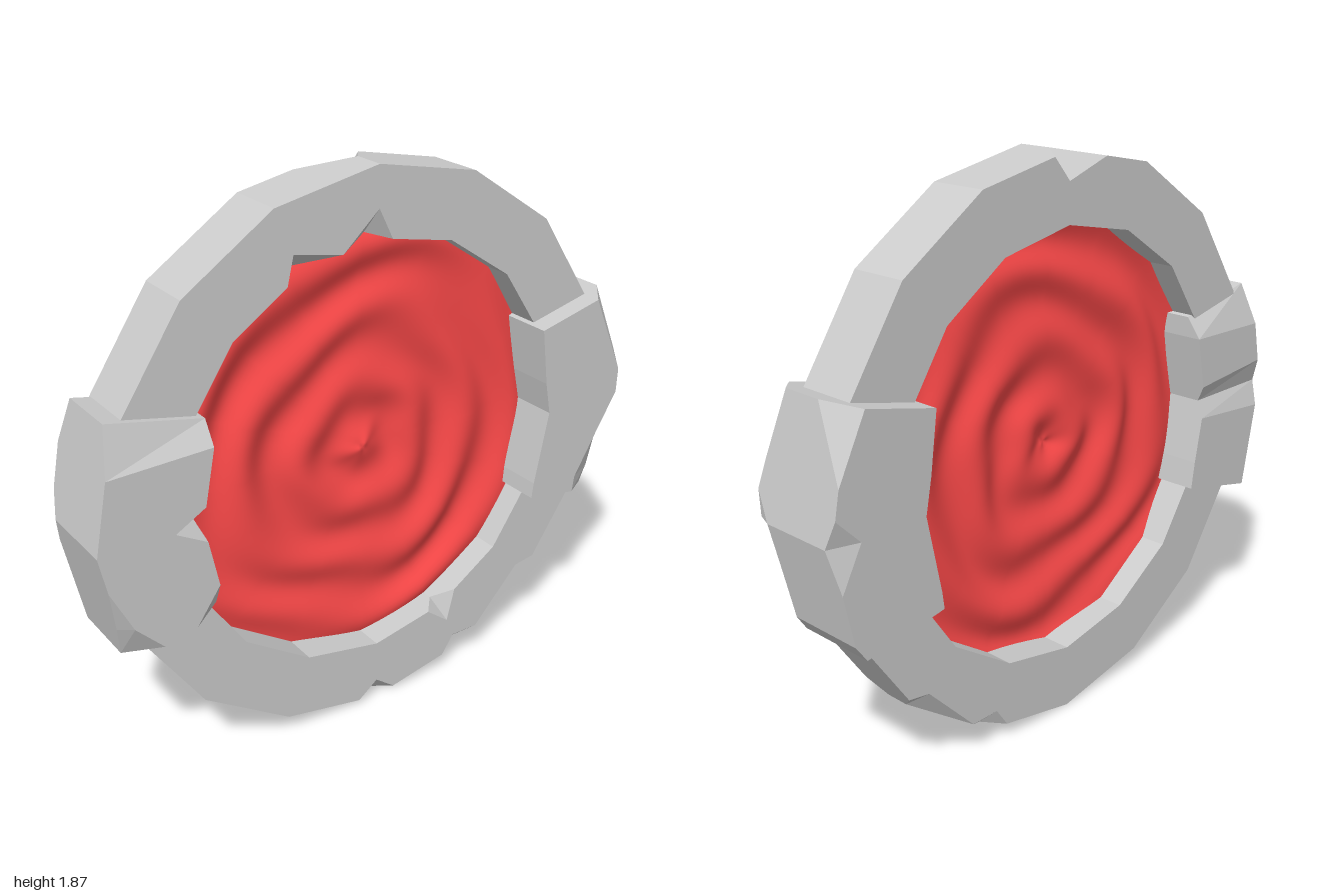
import * as THREE from 'three';
import { mergeVertices } from 'three/addons/utils/BufferGeometryUtils.js';

const SIDES = 16, STEP = 360 / SIDES, RAD = Math.PI / 180;
const CENTRE_Y = 0.938;

// Radius of a 16-sided polygon at an angle in degrees
function polyRadius(R, deg) {
  const m = ((deg % STEP) + STEP) % STEP;
  return R * Math.cos(STEP / 2 * RAD) / Math.cos((m - STEP / 2) * RAD);
}

// Rectangular stone section with four optional corner chips:
// of / ob / inf / ib = outer-front, outer-back, inner-front, inner-back, each [radial, axial]
function section({ a, ai = a, R, r, zf, zb, of = [0, 0], ob = [0, 0], inf = [0, 0], ib = [0, 0] }) {
  const outer = new THREE.Vector2(R * Math.cos(a * RAD), R * Math.sin(a * RAD));
  const inner = new THREE.Vector2(r * Math.cos(ai * RAD), r * Math.sin(ai * RAD));
  const width = outer.distanceTo(inner);
  const at = (inset, z) => {
    const p = outer.clone().lerp(inner, inset / width);
    return [p.x, p.y, z];
  };
  return [
    at(of[0], zf), at(0, zf - of[1]), at(0, zb + ob[1]), at(ob[0], zb),
    at(width - ib[0], zb), at(width, zb + ib[1]), at(width, zf - inf[1]), at(width - inf[0], zf),
  ];
}

// Flat-shaded skin through a row of sections, closed or capped
function loft(sections, closed) {
  const pos = [];
  const A = new THREE.Vector3(), B = new THREE.Vector3(), C = new THREE.Vector3();
  const tri = (a, b, c) => {
    A.fromArray(a); B.fromArray(b).sub(A); C.fromArray(c).sub(A);
    if (B.cross(C).length() > 1e-7) pos.push(...a, ...b, ...c);
  };
  const n = sections.length, m = sections[0].length;
  for (let j = 0; j < (closed ? n : n - 1); j++) {
    const s = sections[j], t = sections[(j + 1) % n];
    for (let i = 0; i < m; i++) {
      const k = (i + 1) % m;
      tri(s[i], s[k], t[k]);
      tri(s[i], t[k], t[i]);
    }
  }
  if (!closed) {
    for (let i = 1; i < m - 1; i++) {
      tri(sections[0][0], sections[0][i + 1], sections[0][i]);
      tri(sections[n - 1][0], sections[n - 1][i], sections[n - 1][i + 1]);
    }
  }
  const g = new THREE.BufferGeometry();
  g.setAttribute('position', new THREE.Float32BufferAttribute(pos, 3));
  g.computeVertexNormals();
  return g;
}

// Chipped ring: a section at every corner plus those bounding each chip
function ringGeometry() {
  const chips = {
    84: {}, 86: {}, 90: { inf: [0.09, 0.08], ob: [0.09, 0.09] }, 100.5: {},
    112.5: { inf: [0.065, 0.08] }, 117: {},
    265.5: {}, 270: { of: [0.07, 0.07] }, 274.5: {},
    285.6: {}, 288.2: {},
    292.5: { of: [0.06, 0.06], ob: [0.06, 0.06], inf: [0.083, 0.06] }, 298.4: {},
    315: { of: [0.06, 0.06], ob: [0.06, 0.06] }, 319: {},
  };
  for (let i = 0; i < SIDES; i++) chips[i * STEP] ??= {};
  const angles = Object.keys(chips).map(Number).sort((p, q) => p - q);
  return loft(angles.map(a => section({
    a, R: polyRadius(0.936, a), r: polyRadius(0.715, a), zf: 0.1, zb: -0.1, ...chips[a],
  })), true);
}

// Thick side block following the ring
function blockGeometry(stations) {
  return loft(stations.map(s => section({
    R: polyRadius(1, s.a), r: polyRadius(0.667, s.ai ?? s.a), zf: 0.17, zb: -0.17, ...s,
  })), false);
}

// Rippled sheet filling the ring
function sheetGeometry() {
  let g = new THREE.RingGeometry(0, 1, 96, 48);
  g.deleteAttribute('uv');
  g.deleteAttribute('normal');
  g = mergeVertices(g, 1e-4);
  const p = g.attributes.position;
  for (let i = 0; i < p.count; i++) {
    const x = p.getX(i), y = p.getY(i), a = Math.atan2(y, x);
    const r = Math.hypot(x, y) * polyRadius(0.718, a / RAD);
    const wobble = r * (0.05 * Math.sin(3 * a + 1) + 0.035 * Math.sin(5 * a + 9 * r));
    const height = 0.014 * (1 + 0.25 * Math.sin(2 * a + 5 * r));
    const z = height * Math.cos(2 * Math.PI * (r + wobble) / 0.22);
    p.setXYZ(i, r * Math.cos(a), r * Math.sin(a), z);
  }
  g.computeVertexNormals();
  return g;
}

export function createModel() {
  const stone = new THREE.MeshStandardMaterial({ color: 0xcccccc, flatShading: true });
  const red = new THREE.MeshStandardMaterial({ color: 0xff4a4a, side: THREE.DoubleSide });
  const group = new THREE.Group();
  const add = (name, geometry, material) => {
    const mesh = new THREE.Mesh(geometry, material);
    mesh.name = name;
    mesh.position.y = CENTRE_Y;
    group.add(mesh);
  };

  add('stoneRing', ringGeometry(), stone);

  add('leftBlock', blockGeometry([
    { a: -21.8, ai: -27, R: 0.97, r: 0.684, of: [0.1, 0.065] },
    { a: -18, ai: -22.5, of: [0.13, 0.075] },
    { a: -8, of: [0.07, 0.065] },
    { a: 0, of: [0.02, 0.055], ob: [0.1, 0.03] },
    { a: 5 },
    { a: 10, of: [0.02, 0.02] },
    { a: 22.5, ai: 26.6, r: 0.69, of: [0.07, 0.08], ob: [0.06, 0.12] },
  ]), stone);

  add('rightBlock', blockGeometry([
    { a: 158, ai: 153.4, r: 0.69, zf: 0.12, zb: -0.09 },
    { a: 166.5, ai: 159, zb: -0.14 },
    { a: 175, zb: -0.14 },
    { a: 180, zb: -0.11, inf: [0.09, 0.08] },
    { a: 185, zb: -0.14 },
    { a: 187, zb: -0.14 },
    { a: 196, ai: 199, zb: -0.14, of: [0.04, 0.04] },
    { a: 202.5, ai: 207, r: 0.684, zb: -0.14, of: [0.11, 0.08], inf: [0.1, 0.06] },
  ]), stone);

  add('rippledSheet', sheetGeometry(), red);
  return group;
}
